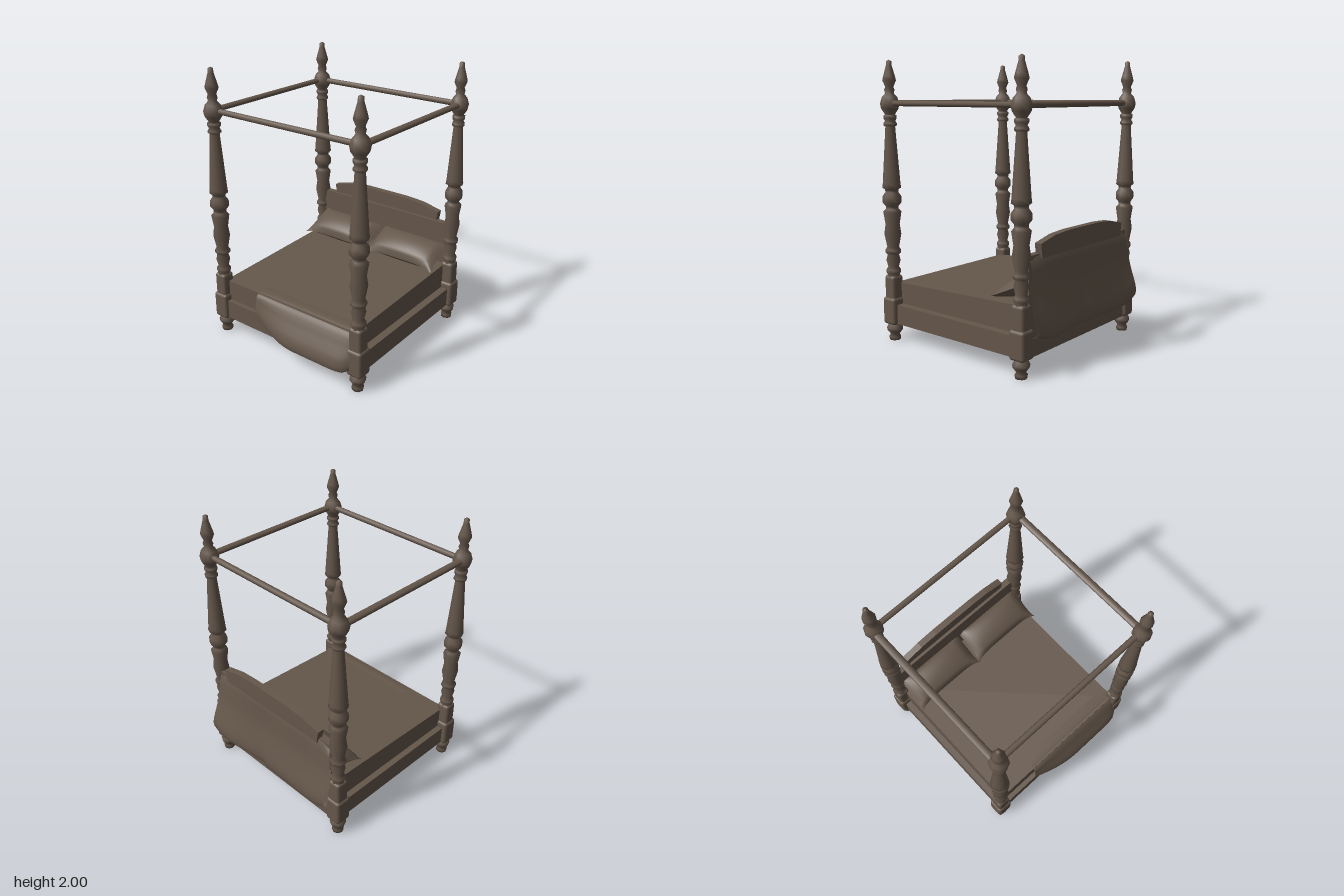
import * as THREE from 'three';
import { RoundedBoxGeometry } from 'three/addons/geometries/RoundedBoxGeometry.js';

const wood = new THREE.MeshStandardMaterial({ color: 0x65574b, side: THREE.DoubleSide });
wood.name = 'dark walnut';

const POST_X = [-0.6, 0.57], POST_Z = [-0.615, 0.613];

// Post turning: [radius, height]
const LEG = [[0, 0], [0.04, 0], [0.042, 0.025], [0.032, 0.04], [0.055, 0.07], [0.058, 0.09], [0.04, 0.125]];
const TURNING = [
  [0.045, 0.46], [0.045, 0.49], [0.052, 0.5], [0.052, 0.52], [0.038, 0.54], [0.05, 0.59], [0.04, 0.63],
  [0.055, 0.645], [0.055, 0.665], [0.042, 0.685], [0.06, 0.78], [0.05, 0.85], [0.064, 0.94], [0.045, 0.96],
  [0.045, 0.98], [0.066, 1.005], [0.066, 1.05], [0.045, 1.08], [0.048, 1.1], [0.066, 1.11], [0.062, 1.14],
  [0.034, 1.54], [0.046, 1.55], [0.046, 1.565], [0.036, 1.58], [0.046, 1.6], [0.046, 1.62], [0.034, 1.625],
  [0.06, 1.665], [0.067, 1.7], [0.053, 1.745], [0.03, 1.77], [0.036, 1.795], [0.028, 1.815], [0.047, 1.86],
  [0.04, 1.89], [0.02, 1.96], [0.018, 1.99], [0, 2],
];

function mesh(name, geometry, x = 0, y = 0, z = 0) {
  const m = new THREE.Mesh(geometry, wood);
  m.name = name;
  m.position.set(x, y, z);
  return m;
}

// Box given by its limits
function slab(name, x0, x1, y0, y1, z0, z1) {
  return mesh(name, new THREE.BoxGeometry(x1 - x0, y1 - y0, z1 - z0),
    (x0 + x1) / 2, (y0 + y1) / 2, (z0 + z1) / 2);
}

// Smooth grid surface from a rule f(u, v) -> [x, y, z]
function sheet(f, nu, nv) {
  const pos = [], idx = [];
  for (let i = 0; i <= nu; i++) for (let j = 0; j <= nv; j++) pos.push(...f(i / nu, j / nv));
  for (let i = 0; i < nu; i++) for (let j = 0; j < nv; j++) {
    const a = i * (nv + 1) + j, b = a + nv + 1;
    idx.push(a, a + 1, b, b, a + 1, b + 1);
  }
  const g = new THREE.BufferGeometry();
  g.setAttribute('position', new THREE.Float32BufferAttribute(pos, 3));
  g.setIndex(idx);
  g.computeVertexNormals();
  return g;
}

function lathe(profile) {
  return new THREE.LatheGeometry(profile.map(([r, y]) => new THREE.Vector2(r, y)), 8);
}

// Square block with softened edges
function block(name, half, y0, y1) {
  return mesh(name, new RoundedBoxGeometry(half * 2, y1 - y0, half * 2, 2, 0.022), 0, (y0 + y1) / 2, 0);
}

function post(x, z) {
  const g = new THREE.Group();
  g.name = 'post';
  g.add(mesh('foot', lathe(LEG)), block('lowerBlock', 0.06, 0.12, 0.32),
    block('upperBlock', 0.049, 0.29, 0.48), mesh('turnedPost', lathe(TURNING)));
  g.position.set(x, 0, z);
  return g;
}

// Pillow with pointed corners, built flat then leaned on the headboard
function pillow(z) {
  const g = new THREE.Group();
  g.name = 'pillow';
  for (const side of [1, -1]) {
    g.add(mesh('pillowFace', sheet((u, v) => {
      const a = u * 2 - 1, b = v * 2 - 1;
      const pinchA = 1 - 0.2 * (1 - Math.pow(b, 6)), pinchB = 1 - 0.05 * (1 - Math.pow(a, 6));
      const puff = Math.pow((1 - a * a) * (1 - b * b), 0.45);
      return [a * 0.165 * pinchA, side * 0.076 * puff, b * 0.302 * pinchB];
    }, 12, 16)));
  }
  g.position.set(0.46, 0.548, z);
  g.rotation.z = 0.42;
  return g;
}

// Cloth hanging along z: profile of [x, y] points, shaped by a rule per z
function cloth(name, points, z0, z1, shape) {
  const curve = new THREE.CatmullRomCurve3(points.map(([x, y]) => new THREE.Vector3(x, y, 0)), false, 'centripetal');
  return mesh(name, sheet((u, v) => {
    const p = curve.getPoint(u);
    return shape(p.x, p.y, z0 + (z1 - z0) * v, v * 2 - 1);
  }, 18, 18));
}

export function createModel() {
  const bed = new THREE.Group();
  bed.name = 'fourPosterBed';

  for (const x of POST_X) for (const z of POST_Z) bed.add(post(x, z));

  // Canopy rails
  for (const z of [-0.626, 0.618]) {
    const r = mesh('canopySideRail', new THREE.CylinderGeometry(0.019, 0.019, 1.17, 8), -0.015, 1.702, z);
    r.rotation.z = Math.PI / 2;
    r.scale.z = 1.4;
    bed.add(r);
  }
  for (const x of [-0.592, 0.572]) {
    const r = mesh('canopyEndRail', new THREE.CylinderGeometry(0.021, 0.021, 1.23, 8), x, 1.702, 0);
    r.rotation.x = Math.PI / 2;
    bed.add(r);
  }

  // Bed frame
  bed.add(slab('frontRail', -0.6, 0.57, 0.13, 0.27, 0.56, 0.64), slab('backRail', -0.6, 0.57, 0.13, 0.27, -0.64, -0.56),
    slab('footRail', -0.635, -0.555, 0.13, 0.27, -0.615, 0.615), slab('headRail', 0.53, 0.61, 0.125, 0.245, -0.615, 0.615));

  // Mattress, rising slightly towards the head
  const mg = new THREE.BoxGeometry(1.17, 0.21, 1.18);
  const p = mg.attributes.position;
  for (let i = 0; i < p.count; i++) if (p.getY(i) > 0) p.setY(i, p.getX(i) > 0 ? 0.14 : 0.105);
  mg.computeVertexNormals();
  bed.add(mesh('mattress', mg, -0.015, 0.315, -0.005));

  // Headboard: lower panel and arched crest
  bed.add(slab('headboardPanel', 0.555, 0.605, 0.24, 0.78, -0.58, 0.58));
  const arch = new THREE.Shape([[-0.47, 0.75], [0.47, 0.75], [0.485, 0.845], [0.33, 0.88], [0.18, 0.89],
    [-0.18, 0.89], [-0.33, 0.88], [-0.485, 0.845]].map(([x, y]) => new THREE.Vector2(x, y)));
  const crest = new THREE.ExtrudeGeometry(arch, { depth: 0.05, bevelEnabled: false });
  crest.rotateY(Math.PI / 2);
  bed.add(mesh('headboardCrest', crest, 0.575, 0, 0));

  bed.add(pillow(-0.295), pillow(0.3));

  // Blanket hanging behind the headboard
  bed.add(cloth('headBlanket', [[0.57, 0.785], [0.61, 0.78], [0.63, 0.6], [0.66, 0.45], [0.69, 0.33], [0.69, 0.25],
    [0.665, 0.235], [0.65, 0.33], [0.62, 0.46], [0.6, 0.6]], -0.6, 0.595, (x, y, z, t) => {
    const low = THREE.MathUtils.clamp((0.78 - y) / 0.5, 0, 1);
    const wave = 0.022 * low * Math.sin(z * 6 - 1.5) * (z > 0 ? 1 : 0.3);
    const edge = Math.pow(Math.abs(t), 8);
    return [x + wave - 0.006 * low, y + (0.05 * low - 0.04 * (1 - low)) * edge, z * (0.96 + 0.04 * low)];
  }));

  // Blanket falling over the foot end
  bed.add(cloth('footBlanket', [[-0.5, 0.425], [-0.58, 0.424], [-0.62, 0.39], [-0.66, 0.31], [-0.705, 0.22],
    [-0.706, 0.145], [-0.675, 0.14], [-0.655, 0.25], [-0.6, 0.36]], -0.27, 0.59, (x, y, z, t) => {
    const drop = Math.sin(Math.min(1, (z + 0.27) / 0.4) * Math.PI / 2), end = Math.pow(Math.max(0, t), 12);
    const k = 0.25 + 0.75 * drop - 0.45 * end;
    return [x < -0.62 ? -0.62 + (x + 0.62) * k : x, y < 0.42 ? 0.42 + (y - 0.42) * (0.55 + 0.45 * drop - 0.1 * end) : y, z];
  }));

  return bed;
}
